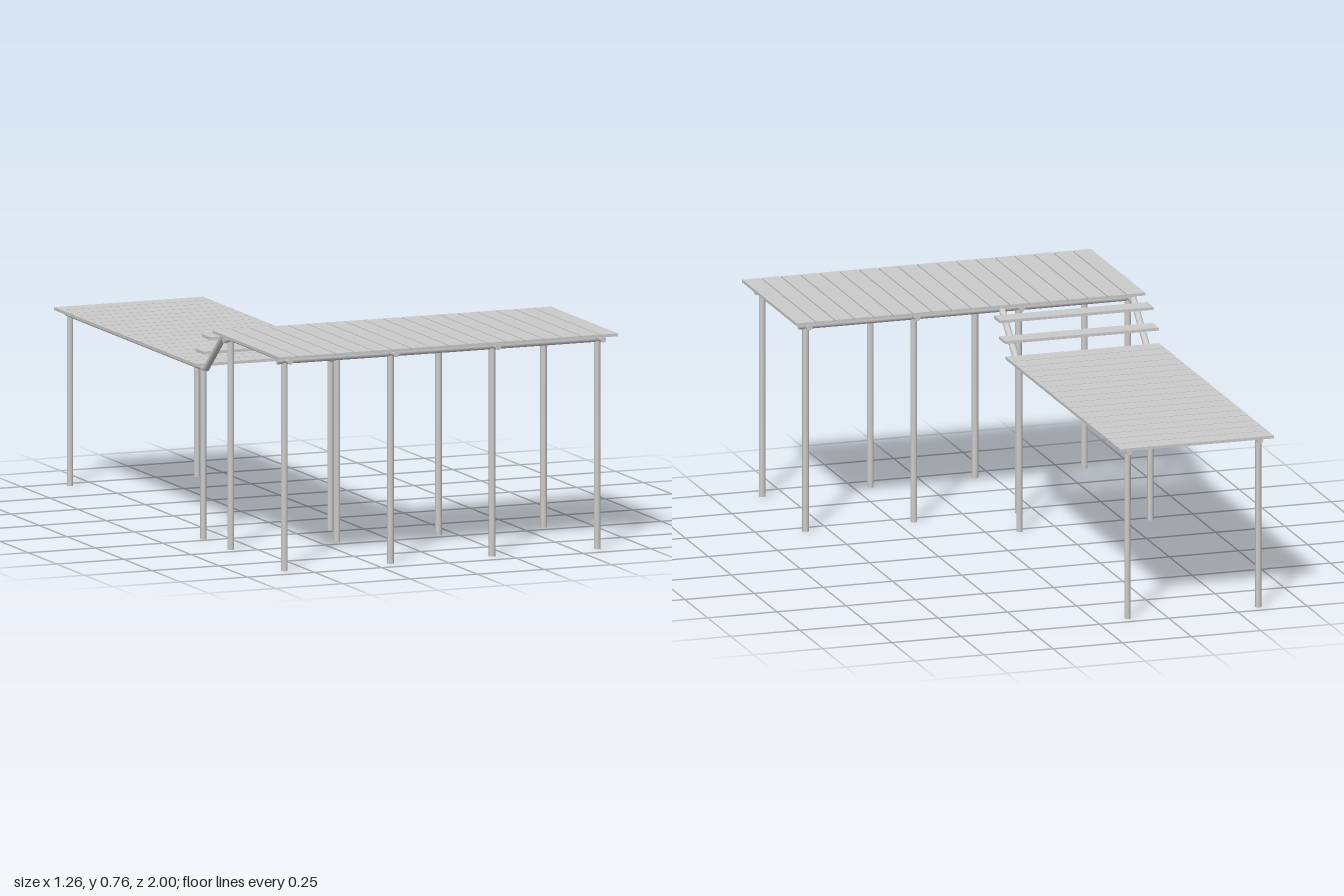
import * as THREE from 'three';

const material = new THREE.MeshStandardMaterial({ color: 0xcccccc });
const UP = new THREE.Vector3(0, 1, 0);

// Round log between two points
function log(parent, name, from, to, radius = 0.0115) {
  const a = new THREE.Vector3(...from);
  const b = new THREE.Vector3(...to);
  const mesh = new THREE.Mesh(new THREE.CylinderGeometry(radius, radius, a.distanceTo(b), 16), material);
  mesh.name = name;
  mesh.position.copy(a).add(b).multiplyScalar(0.5);
  mesh.quaternion.setFromUnitVectors(UP, b.sub(a).normalize());
  parent.add(mesh);
}

// Flat board given by its extents, with y as the top face
function board(parent, name, x0, x1, top, z0, z1, thickness = 0.01) {
  const mesh = new THREE.Mesh(new THREE.BoxGeometry(x1 - x0, thickness, z1 - z0), material);
  mesh.name = name;
  mesh.position.set((x0 + x1) / 2, top - thickness / 2, (z0 + z1) / 2);
  parent.add(mesh);
}

function section(parent, name) {
  const group = new THREE.Group();
  group.name = name;
  parent.add(group);
  return group;
}

export function createModel() {
  const model = new THREE.Group();
  model.name = 'raisedWalkway';
  const planks = 18;
  const plankWidth = 0.0655;

  // Upper platform: planks run front to back
  const upper = section(model, 'upperPlatform');
  const upperPitch = (1.26 - plankWidth) / (planks - 1);
  for (let i = 0; i < planks; i++) {
    const x = -0.63 + i * upperPitch;
    board(upper, 'upperPlank', x, x + plankWidth, 0.757, 0.405, 1);
  }
  for (const z of [0.455, 0.93]) {
    log(upper, 'upperBeam', [-0.61, 0.733, z], [0.607, 0.733, z], 0.013);
    for (const x of [-0.583, -0.188, 0.19, 0.581]) {
      log(upper, 'upperPost', [x, 0, z], [x, 0.733, z]);
    }
  }
  for (const x of [-0.583, -0.188, 0.19, 0.581]) {
    log(upper, 'upperJoist', [x, 0.736, 0.412], [x, 0.736, 0.985], 0.0105);
  }

  // Lower walkway: planks run side to side
  const lower = section(model, 'lowerWalkway');
  const lowerPitch = (1.255 - plankWidth) / (planks - 1);
  for (let i = 0; i < planks; i++) {
    const z = -1 + i * lowerPitch;
    board(lower, 'lowerPlank', -0.63, -0.075, 0.617, z, z + plankWidth);
  }

  // Lower frame and the stair stringers in line with it
  const stairs = section(model, 'stairs');
  for (const x of [-0.588, -0.115]) {
    log(lower, 'lowerBeam', [x, 0.597, -0.98], [x, 0.597, 0.255], 0.0105);
    for (const z of [-0.957, 0.224]) {
      log(lower, 'lowerPost', [x, 0, z], [x, 0.597, z], 0.0105);
    }
    log(stairs, 'stringer', [x, 0.598, 0.25], [x, 0.738, 0.41], 0.0115);
  }

  // Two open treads
  board(stairs, 'lowerTread', -0.63, -0.075, 0.671, 0.257, 0.325);
  board(stairs, 'upperTread', -0.63, -0.075, 0.73, 0.314, 0.382);

  return model;
}
